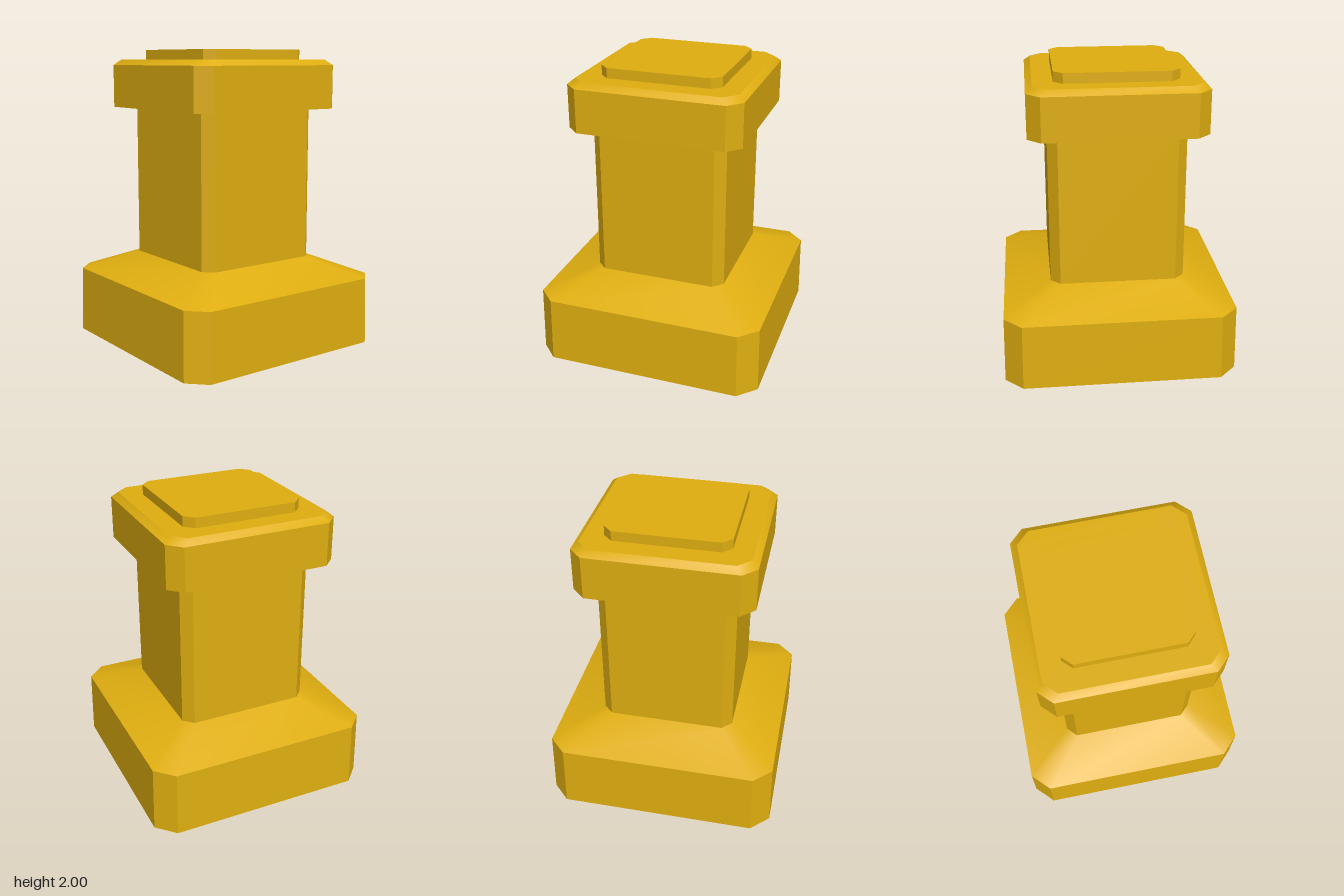
import * as THREE from 'three';
import { toCreasedNormals } from 'three/addons/utils/BufferGeometryUtils.js';

// Chamfered-square ring: half = half width, flat = half length of the straight side
function ring([half, flat, y]) {
  return [[half, flat], [flat, half], [-flat, half], [-half, flat],
    [-half, -flat], [-flat, -half], [flat, -half], [half, -flat]]
    .map(([x, z]) => [x, y, z]);
}

// Open shell through rings listed from bottom to top, optionally closed at the top
function shell(rings, closed) {
  const loops = rings.map(ring);
  const pos = [];
  for (let r = 0; r < loops.length - 1; r++) {
    for (let i = 0; i < 8; i++) {
      const j = (i + 1) % 8;
      const a = loops[r][i], b = loops[r][j], c = loops[r + 1][j], d = loops[r + 1][i];
      pos.push(...a, ...d, ...b, ...b, ...d, ...c);
    }
  }
  if (closed) {
    const top = loops[loops.length - 1];
    for (let i = 1; i < 7; i++) pos.push(...top[0], ...top[i + 1], ...top[i]);
  }
  const geo = new THREE.BufferGeometry();
  geo.setAttribute('position', new THREE.Float32BufferAttribute(pos, 3));
  return toCreasedNormals(geo, 0.56);
}

export function createModel() {
  const group = new THREE.Group();
  const gold = new THREE.MeshStandardMaterial({ color: 0xdfae10, side: THREE.DoubleSide });
  gold.name = 'gold';

  const add = (name, rings, closed = false) => {
    const mesh = new THREE.Mesh(shell(rings, closed), gold);
    mesh.name = name;
    group.add(mesh);
  };

  // Hollow base with slightly tapered walls and a sloping shoulder
  add('base', [[0.775, 0.657, 0], [0.768, 0.651, 0.452], [0.45, 0.386, 0.587]]);
  // Hollow square shaft
  add('shaft', [[0.45, 0.386, 0.587], [0.45, 0.386, 1.61]]);
  // Overhanging cap with bevelled upper edge
  add('cap', [[0.45, 0.386, 1.61], [0.575, 0.487, 1.61], [0.575, 0.487, 1.898],
    [0.533, 0.451, 1.934]], true);
  // Raised plate on top
  add('topPlate', [[0.4, 0.34, 1.934], [0.4, 0.34, 2]], true);

  return group;
}
